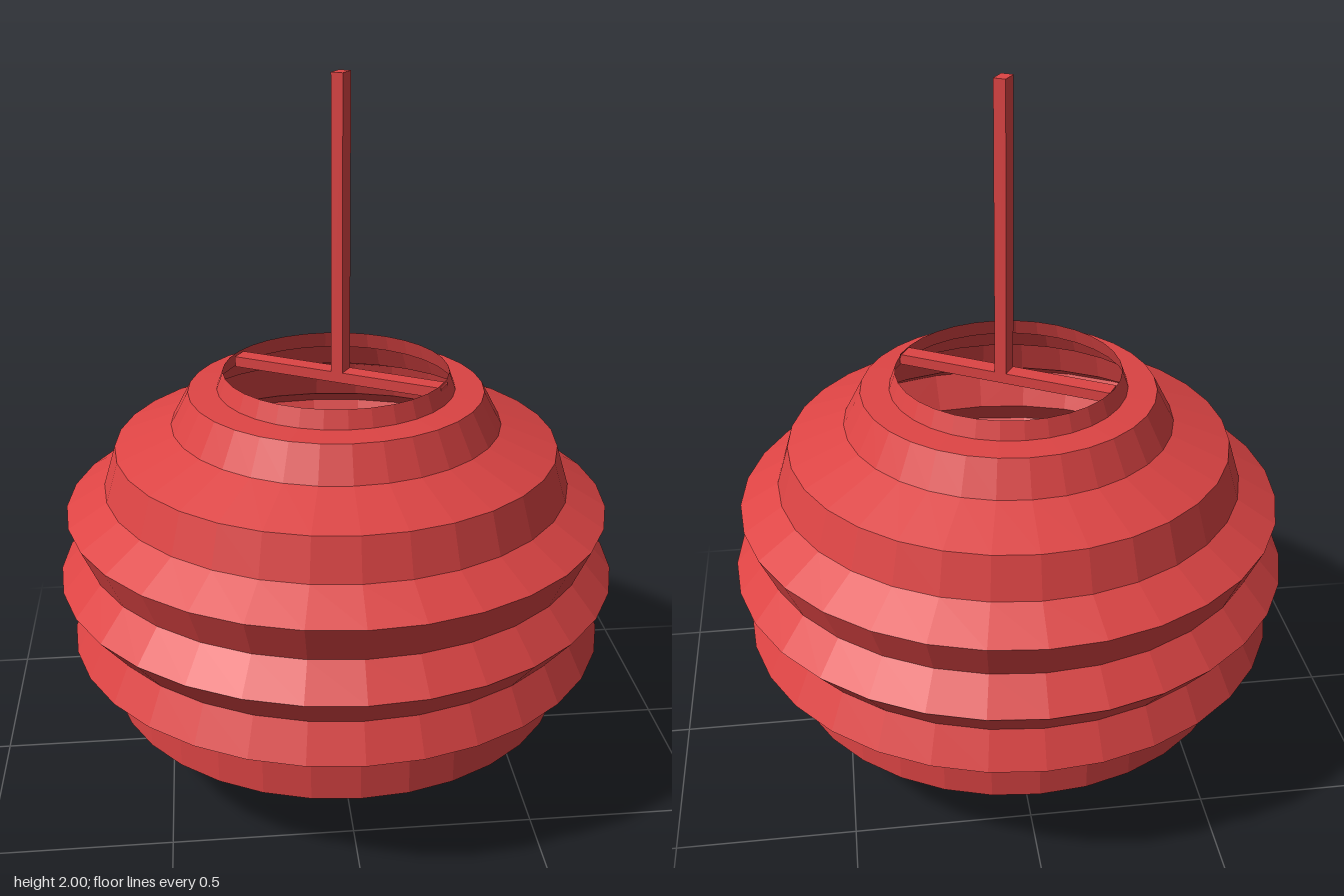
import * as THREE from 'three';

export function createModel() {
  const lamp = new THREE.Group();
  lamp.name = 'pendantLamp';
  const red = new THREE.MeshStandardMaterial({ color: 0xdd4444, flatShading: true });
  const redThin = new THREE.MeshStandardMaterial({ color: 0xdd4444, flatShading: true, side: THREE.DoubleSide });

  function add(name, geometry, material, parent) {
    const mesh = new THREE.Mesh(geometry, material);
    mesh.name = name;
    parent.add(mesh);
    return mesh;
  }

  // Pleated hollow shade, open at the top and bottom: [radius, height]
  const profile = [
    [0.272, 0], [0.275, 0.035], [0.335, 0.035], [0.36, 0.085], [0.457, 0.09],
    [0.49, 0.165], [0.66, 0.23], [0.662, 0.335], [0.77, 0.41], [0.72, 0.51],
    [0.797, 0.605], [0.722, 0.69], [0.77, 0.8], [0.66, 0.865], [0.625, 0.98],
    [0.465, 1.04], [0.415, 1.135], [0.334, 1.14], [0.316, 1.19],
  ].map(([r, y]) => new THREE.Vector2(r, y));
  add('shade', new THREE.LatheGeometry(profile, 32), redThin, lamp);

  // Hanger: a bar across the top opening carrying an upright stem
  const hanger = new THREE.Group();
  hanger.name = 'hanger';
  hanger.position.set(0.013, 0, -0.002);
  hanger.rotation.y = -Math.PI / 6;
  lamp.add(hanger);

  const bar = add('crossBar', new THREE.BoxGeometry(0.63, 0.03, 0.052), red, hanger);
  bar.position.set(-0.005, 1.17, 0);

  const stem = add('stem', new THREE.BoxGeometry(0.034, 0.82, 0.052), red, hanger);
  stem.position.y = 1.59;

  return lamp;
}
